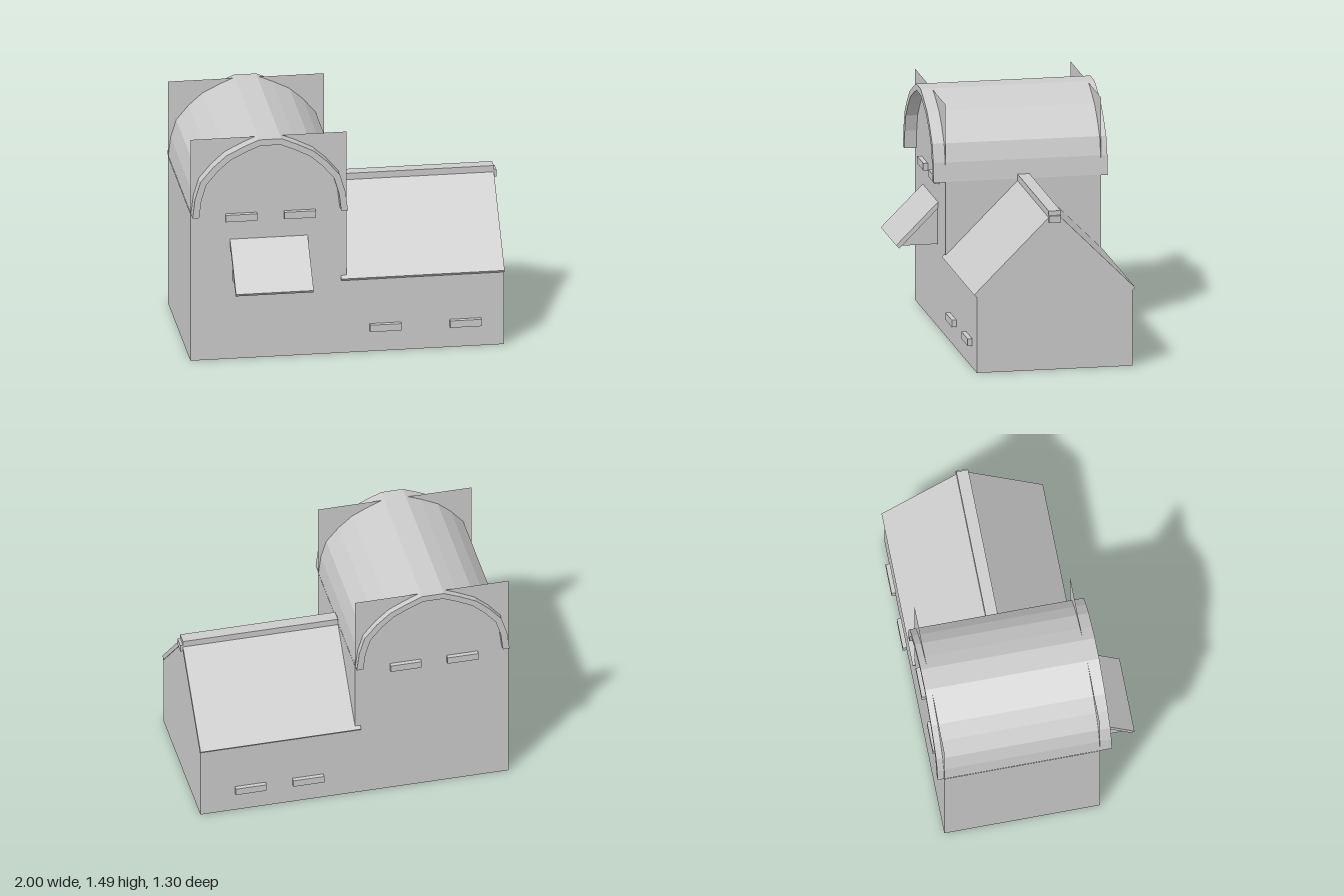
import * as THREE from 'three';

const material = new THREE.MeshStandardMaterial({ color: 0xcccccc, flatShading: true, side: THREE.DoubleSide });

export function createModel() {
  const model = new THREE.Group();
  const FRONT = 0.385, BACK = -0.605, LEFT = 0.977, RIGHT = -1, SPLIT = -0.015;
  const RIDGE_Z = -0.11;

  const add = (name, geometry, x = 0, y = 0, z = 0) => {
    const mesh = new THREE.Mesh(geometry, material);
    mesh.name = name;
    mesh.position.set(x, y, z);
    model.add(mesh);
    return mesh;
  };
  const shape = (points) => new THREE.Shape(points.map(([x, y]) => new THREE.Vector2(x, y)));
  // Box from its lower and upper limits
  const box = (name, x0, x1, y0, y1, z0, z1) =>
    add(name, new THREE.BoxGeometry(x1 - x0, y1 - y0, z1 - z0), (x0 + x1) / 2, (y0 + y1) / 2, (z0 + z1) / 2);
  // Flat panel drawn in (z, y) and placed at x
  const sidePanel = (name, points, x) => {
    const geometry = new THREE.ShapeGeometry(shape(points.map(([z, y]) => [-z, y])));
    return add(name, geometry.rotateY(Math.PI / 2), x);
  };
  // Profile drawn in (z, y) and extruded from x0 to x1
  const extrudeX = (name, points, x0, x1) => {
    const geometry = new THREE.ExtrudeGeometry(shape(points.map(([z, y]) => [-z, y])),
      { depth: x1 - x0, bevelEnabled: false });
    return add(name, geometry.rotateY(Math.PI / 2), x0);
  };

  // Long walls: low wing plus a tall square panel rising past the barrel roof
  const longWall = shape([[RIGHT, 0], [LEFT, 0], [LEFT, 0.49], [SPLIT, 0.49], [SPLIT, 1.485], [RIGHT, 1.485]]);
  add('frontWall', new THREE.ShapeGeometry(longWall), 0, 0, FRONT);
  const back = new THREE.ShapeGeometry(longWall);
  add('backWall', back, 0, 0, BACK);

  // End walls and the tower wall above the wing
  sidePanel('towerOuterWall', [[FRONT, 0], [BACK, 0], [BACK, 0.99], [FRONT, 0.99]], RIGHT);
  sidePanel('towerInnerWall', [[FRONT, 0.49], [BACK, 0.49], [BACK, 0.99], [FRONT, 0.99]], SPLIT);
  sidePanel('gableWall', [[FRONT, 0], [BACK, 0], [BACK, 0.49], [RIDGE_Z, 0.985], [FRONT, 0.49]], LEFT);

  // Barrel roof: faceted arch band extruded along z
  const half = [[0.49, 0], [0.475, 0.125], [0.44, 0.24], [0.36, 0.335], [0.275, 0.41], [0.165, 0.465], [0.07, 0.505]];
  const outer = [...half, ...half.map(([x, y]) => [-x, y]).reverse()];
  const inner = outer.map(([x, y]) => [x * 0.915, y * 0.92]).reverse();
  add('barrelRoof', new THREE.ExtrudeGeometry(shape([...outer, ...inner]),
    { depth: 1.108, bevelEnabled: false }), -0.507, 0.986, -0.647);

  // Gabled wing roof with its ridge cap
  extrudeX('wingRoof', [[0.403, 0.502], [RIDGE_Z, 1.015], [-0.623, 0.502],
    [-0.603, 0.482], [RIDGE_Z, 0.975], [0.383, 0.482]], -0.05, 0.98);
  box('ridgeCap', SPLIT, 0.98, 0.958, 1.019, -0.148, -0.072);
  box('ridgeEnd', 0.98, 0.997, 0.945, 0.99, -0.148, -0.072);

  // Sloping canopy with side cheeks that run into the wall
  extrudeX('canopyRoof', [[0.385, 0.803], [0.652, 0.536], [0.632, 0.516], [0.385, 0.763]], -0.75, -0.26);
  for (const x of [-0.735, -0.275])
    sidePanel('canopyCheek', [[0.31, 0.53], [0.618, 0.53], [0.385, 0.763], [0.31, 0.763]], x);

  // Small ledges on both long walls: [x start, y start]
  for (const [x, y] of [[-0.78, 0.93], [-0.41, 0.93], [0.13, 0.14], [0.635, 0.14]])
    box('frontLedge', x, x + 0.198, y, y + 0.046, 0.386, 0.415);
  for (const [x, y] of [[-0.8, 0.93], [-0.435, 0.93], [0.19, 0.14], [0.56, 0.14]])
    box('backLedge', x, x + 0.198, y, y + 0.046, -0.64, -0.612);

  return model;
}
